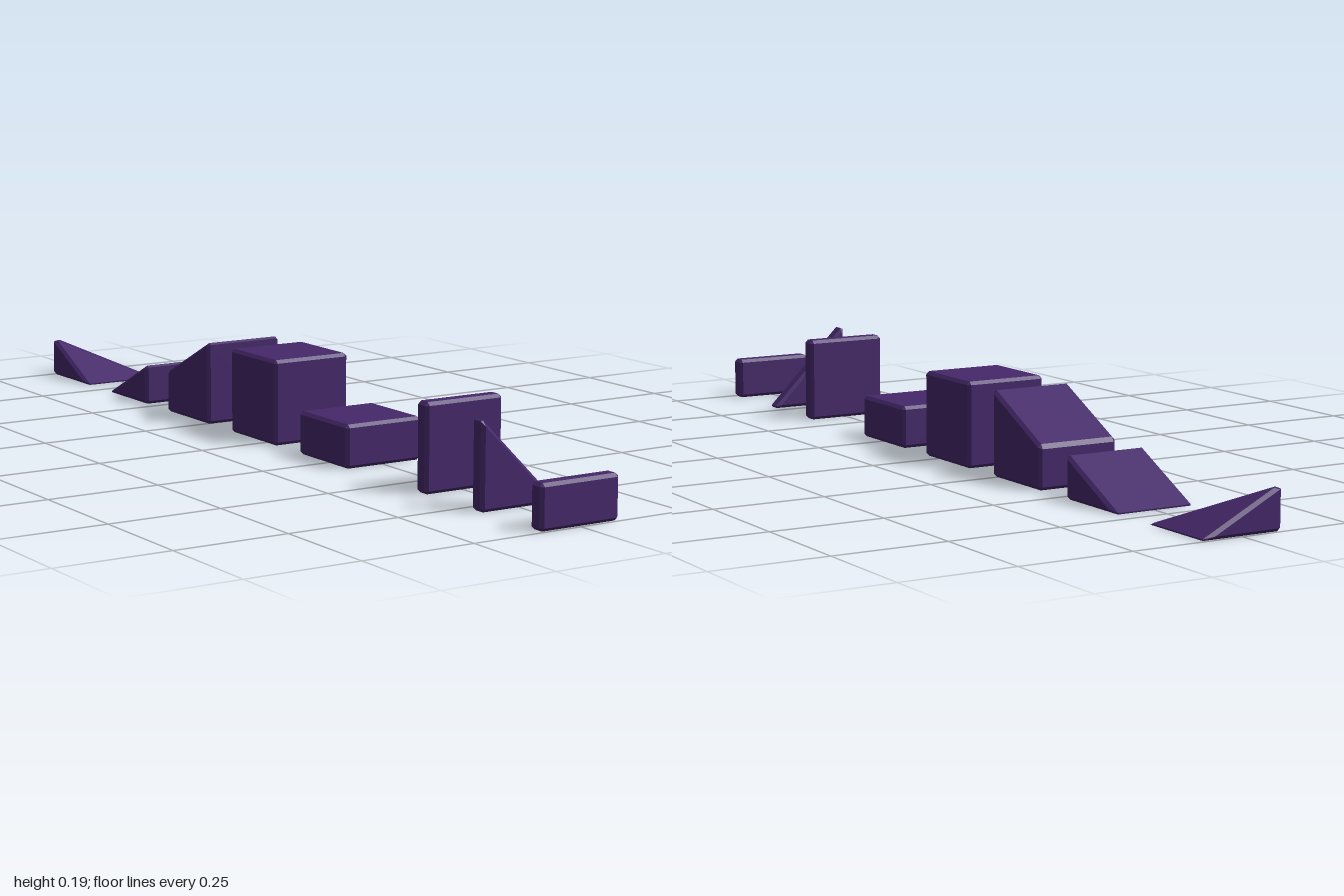
import * as THREE from 'three';
import { ConvexGeometry } from 'three/addons/geometries/ConvexGeometry.js';

const S = 0.188;       // block size
const H = S / 2;       // half size, also the height of low pieces
const T = 0.037;       // panel thickness
const BEVEL = 0.007;

const v = (x, y, z) => new THREE.Vector3(x, y, z);

// Convex solid with chamfered edges: inset every face in its own plane, then wrap a hull around the faces
function chamfered(faces) {
  const points = [];
  for (const face of faces) {
    const n = face.length;
    face.forEach((p, i) => {
      const a = face[(i + 1) % n].clone().sub(p).normalize();
      const b = face[(i + n - 1) % n].clone().sub(p).normalize();
      const k = BEVEL / a.clone().cross(b).length();
      points.push(a.add(b).multiplyScalar(k).add(p));
    });
  }
  return new ConvexGeometry(points);
}

// Faces of a prism: an outline swept along a vector
function prism(outline, sweep) {
  const far = outline.map((p) => p.clone().add(sweep));
  const sides = outline.map((p, i) => {
    const j = (i + 1) % outline.length;
    return [p, outline[j], far[j], far[i]];
  });
  return chamfered([outline, far, ...sides]);
}

// Block whose side profile is given as [z, y] pairs, swept across x
const block = (profile) => prism(profile.map(([z, y]) => v(-H, y, z)), v(S, 0, 0));

// Thin panel whose front outline is given as [x, y] pairs, swept through z
const panel = (outline) => prism(outline.map(([x, y]) => v(x, y, -T / 2)), v(0, 0, T));

// Low corner slope with its peak above the back right corner
function cornerSlope() {
  const base = [v(-H, 0, -H), v(H, 0, -H), v(H, 0, H), v(-H, 0, H)];
  const peak = v(-H, H, -H);
  return chamfered([
    base,
    [base[0], base[1], peak],
    [base[1], base[2], peak],
    [base[2], base[3], peak],
    [base[3], base[0], peak],
  ]);
}

export function createModel() {
  const group = new THREE.Group();
  group.name = 'buildingBlockSet';
  const purple = new THREE.MeshStandardMaterial({ color: 0x45286a });
  purple.name = 'darkPurple';

  // Pieces in a row from front to back: name, geometry, z position
  const pieces = [
    ['halfPanel', panel([[-H, 0], [H, 0], [H, H], [-H, H]]), 0.981],
    ['trianglePanel', panel([[-H, 0], [H, 0], [-H, S]]), 0.791],
    ['fullPanel', panel([[-H, 0], [H, 0], [H, S], [-H, S]]), 0.601],
    ['halfBlock', block([[-H, 0], [H, 0], [H, H], [-H, H]]), 0.237],
    ['fullBlock', block([[-H, 0], [H, 0], [H, S], [-H, S]]), -0.047],
    ['tallSlopeBlock', block([[-H, 0], [H, 0], [H, S], [-H, H]]), -0.333],
    ['lowSlopeBlock', block([[-H, 0], [H, 0], [H, H]]), -0.619],
    ['cornerSlopeBlock', cornerSlope(), -0.906],
  ];
  for (const [name, geometry, z] of pieces) {
    const mesh = new THREE.Mesh(geometry, purple);
    mesh.name = name;
    mesh.position.z = z;
    group.add(mesh);
  }
  return group;
}
